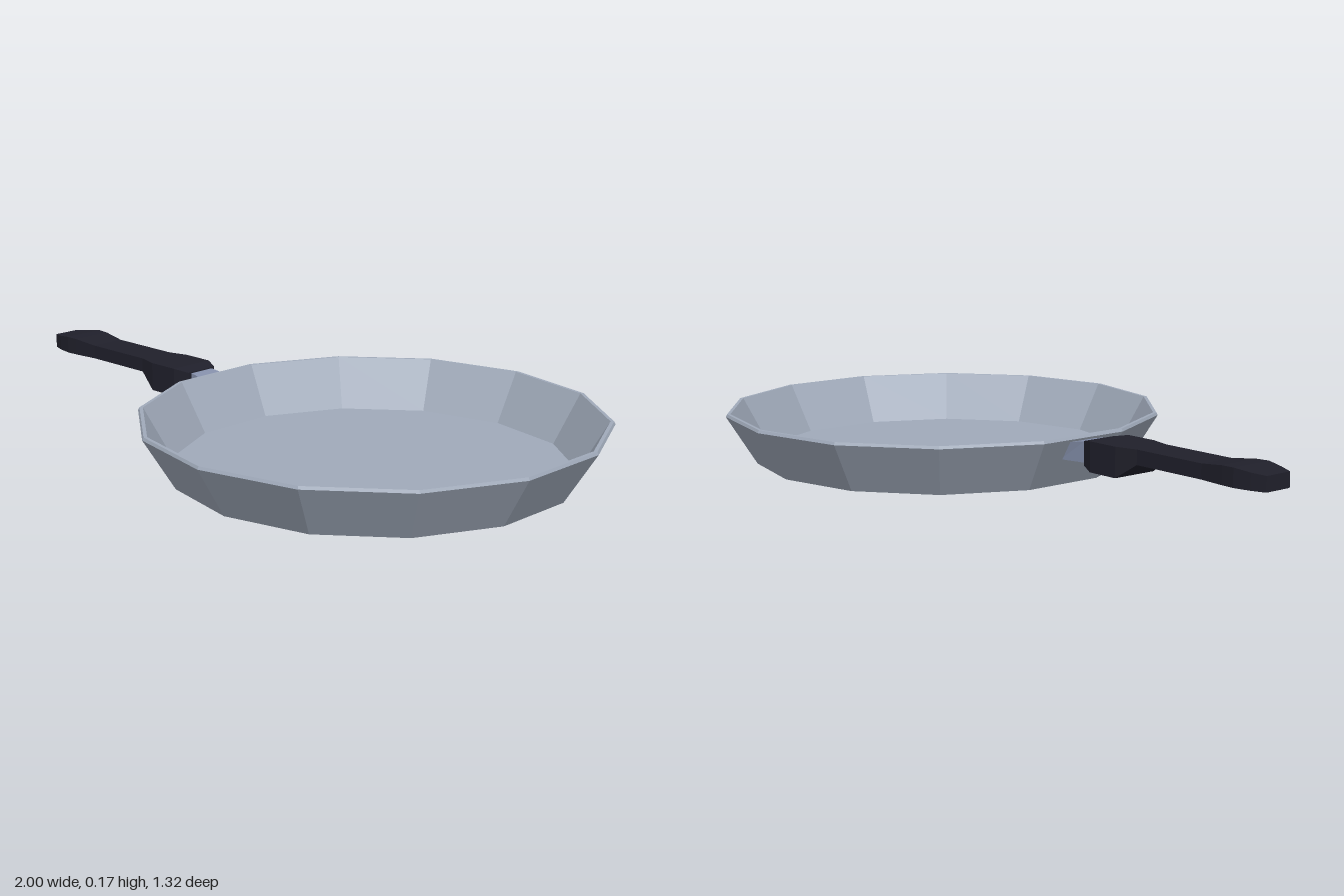
import * as THREE from 'three';

const mat = (name, color) => {
  const m = new THREE.MeshStandardMaterial({ color });
  m.name = name;
  return m;
};

// Loft of four-cornered sections along x: [xTop, xBottom, yTop, yBottom, halfWidth]
function loft(sections) {
  const rings = sections.map(([xt, xb, yt, yb, w]) => [
    [xt, yt, w], [xt, yt, -w], [xb, yb, -w], [xb, yb, w],
  ]);
  const pos = [];
  const quad = (a, b, c, d) => pos.push(...a, ...b, ...c, ...a, ...c, ...d);
  for (let i = 0; i < rings.length - 1; i++) {
    const p = rings[i], q = rings[i + 1];
    for (let j = 0; j < 4; j++) {
      const k = (j + 1) % 4;
      quad(p[j], q[j], q[k], p[k]);
    }
  }
  const first = rings[0], last = rings[rings.length - 1];
  quad(first[0], first[1], first[2], first[3]);
  quad(last[3], last[2], last[1], last[0]);
  const g = new THREE.BufferGeometry();
  g.setAttribute('position', new THREE.Float32BufferAttribute(pos, 3));
  g.computeVertexNormals();
  return g;
}

function addMesh(group, name, geometry, material) {
  const mesh = new THREE.Mesh(geometry, material);
  mesh.name = name;
  group.add(mesh);
  return mesh;
}

export function createModel() {
  const model = new THREE.Group();
  model.name = 'fryingPan';

  const steel = mat('panSteel', 0xa0aaba);
  const bracketSteel = mat('bracketSteel', 0x8590ab);
  const grip = mat('darkGrip', 0x20202b);
  for (const m of [steel, bracketSteel, grip]) m.flatShading = true;

  // Fourteen-sided dish: base, flared wall, bevelled rim, inner wall, floor
  const profile = [
    [0, 0], [0.57, 0], [0.66, 0.146], [0.656, 0.154],
    [0.646, 0.154], [0.565, 0.01], [0, 0.01],
  ].map(([r, y]) => new THREE.Vector2(r, y));
  const dish = addMesh(model, 'dish', new THREE.LatheGeometry(profile, 14), steel);
  dish.position.x = 0.355;

  // Metal bracket, its end cut to follow the sloping wall
  addMesh(model, 'handleBracket', loft([
    [-0.36, -0.36, 0.15, 0.088, 0.042],
    [-0.335, -0.335, 0.148, 0.088, 0.042],
    [-0.277, -0.245, 0.138, 0.085, 0.05],
  ]), bracketSteel);

  // Grip with a deep collar near the dish and a swollen far end
  addMesh(model, 'handle', loft([
    [-1, -1, 0.16, 0.118, 0.043],
    [-0.96, -0.96, 0.164, 0.118, 0.057],
    [-0.91, -0.91, 0.17, 0.118, 0.066],
    [-0.87, -0.87, 0.169, 0.118, 0.064],
    [-0.79, -0.79, 0.16, 0.118, 0.055],
    [-0.555, -0.555, 0.16, 0.118, 0.055],
    [-0.49, -0.49, 0.16, 0.074, 0.072],
    [-0.39, -0.39, 0.16, 0.074, 0.072],
    [-0.345, -0.345, 0.152, 0.084, 0.053],
  ]), grip);

  return model;
}
